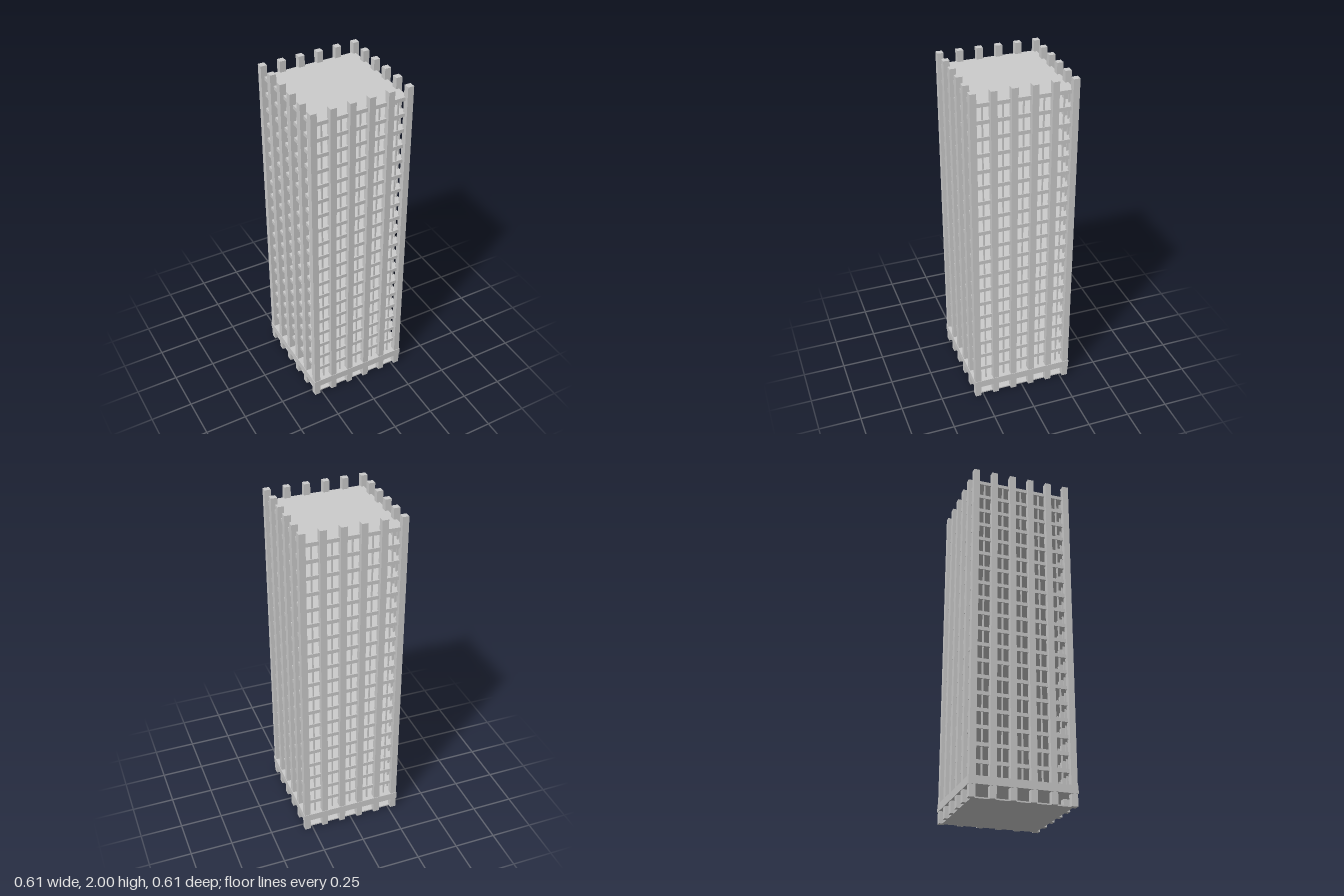
import * as THREE from 'three';

export function createModel() {
  const tower = new THREE.Group();
  tower.name = 'tower';
  const material = new THREE.MeshStandardMaterial({ color: 0xcccccc, flatShading: true });

  // Box placed by its centre in x and z and by its bottom and top heights
  function block(name, parent, x, z, width, depth, bottom, top) {
    const mesh = new THREE.Mesh(new THREE.BoxGeometry(width, top - bottom, depth), material);
    mesh.position.set(x, (bottom + top) / 2, z);
    mesh.name = name;
    parent.add(mesh);
  }

  function group(name) {
    const g = new THREE.Group();
    g.name = name;
    tower.add(g);
    return g;
  }

  const edge = 0.282;      // centre line of the outer columns
  const bays = 5;
  const pitch = (2 * edge) / bays;
  const slab = 0.562;      // width of a floor
  const columnWidth = 0.036;
  const mullionWidth = 0.008;
  const firstFloor = 0.196, floorPitch = 0.096, floors = 19, floorHeight = 0.022;

  // Ground slab and the wider base band
  block('groundSlab', tower, 0, 0, slab, slab, 0, 0.008);
  block('baseBand', tower, 0, 0, 0.606, 0.606, 0.069, 0.114);

  // Stacked floors, the last one being the roof
  const floorGroup = group('floors');
  for (let i = 0; i < floors; i++) {
    const y = firstFloor + i * floorPitch;
    block(i === floors - 1 ? 'roof' : 'floor', floorGroup, 0, 0, slab, slab,
      y - floorHeight / 2, y + floorHeight / 2);
  }

  // Columns around the perimeter: each side owns one corner
  const columns = group('columns');
  const mullions = group('mullions');
  const mullionTop = firstFloor + (floors - 1) * floorPitch;
  for (let side = 0; side < 4; side++) {
    const angle = side * Math.PI / 2;
    const c = Math.round(Math.cos(angle)), s = Math.round(Math.sin(angle));
    const place = (t, r) => [c * t + s * r, -s * t + c * r];
    for (let i = 0; i < bays; i++) {
      const t = -edge + i * pitch;
      block('column', columns, ...place(t, edge), columnWidth, columnWidth, 0, 2);
      // Thin window mullion in the middle of the bay
      block('mullion', mullions, ...place(t + pitch / 2, 0.272),
        mullionWidth, mullionWidth, 0.11, mullionTop);
    }
  }
  return tower;
}
